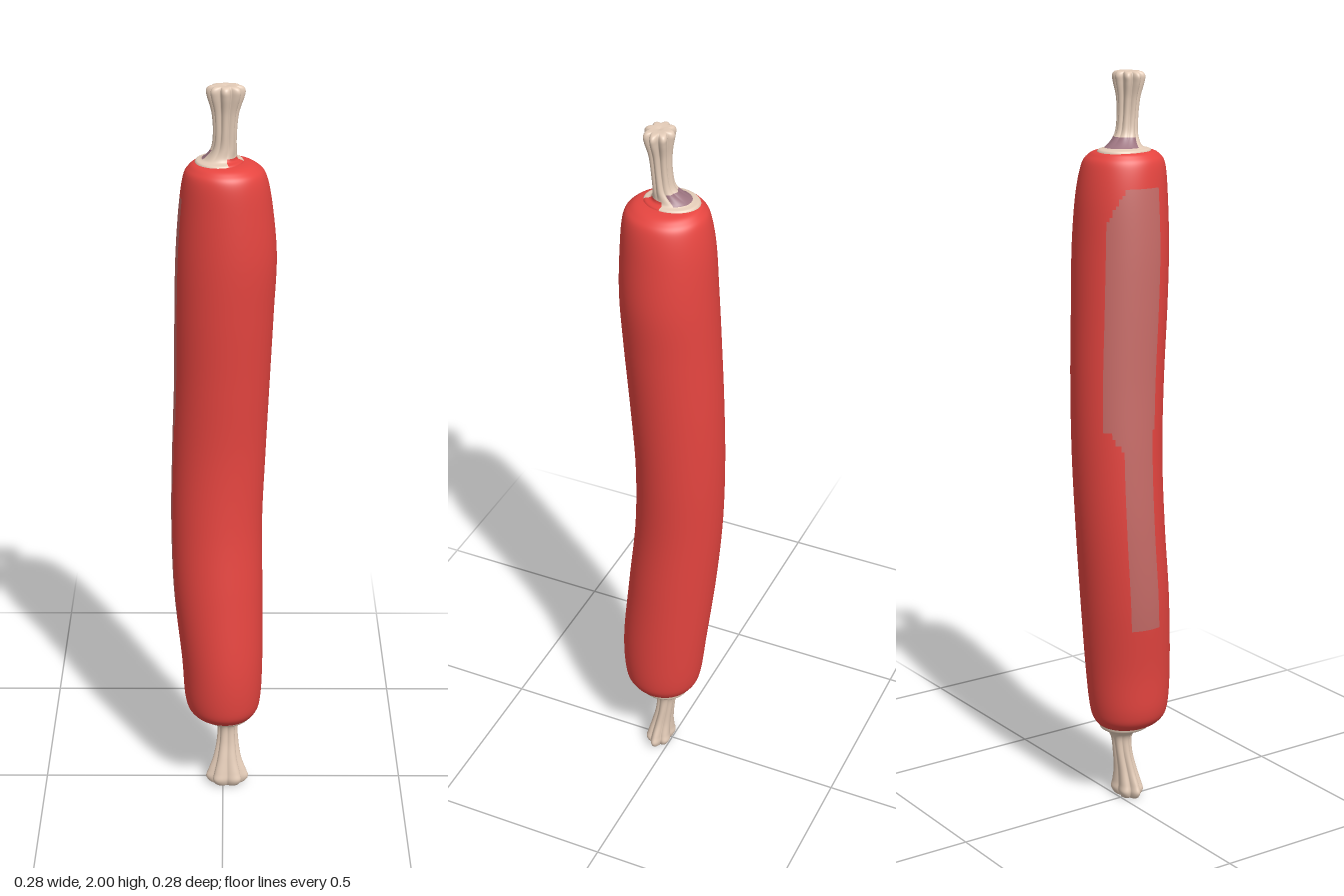
import * as THREE from 'three';

function flat(name, color) {
  const material = new THREE.MeshStandardMaterial({ color });
  material.name = name;
  return material;
}
const red = flat('casing red', 0xe64540);
const beige = flat('knot beige', 0xe4ccb8);
const mauve = flat('stain mauve', 0x9c7480);
const fadedRed = flat('faded red', 0xc86c68);

// Closed smooth skin through rows of [y, centreX, centreZ, radiusX, radiusZ, lobeDepth],
// listed from bottom to top. pick(angle, y) gives the material index of each face.
function loft(name, rows, rings, sides, lobes, materials, pick) {
  const curve = (f) => new THREE.CatmullRomCurve3(rows.map(f), false, 'catmullrom', 0.5);
  const centre = curve((r) => new THREE.Vector3(r[1], r[0], r[2]));
  const radius = curve((r) => new THREE.Vector3(r[3], r[5] || 0, r[4]));
  const positions = [];
  for (let i = 0; i <= rings; i++) {
    const c = centre.getPoint(i / rings);
    const r = radius.getPoint(i / rings);
    for (let j = 0; j < sides; j++) {
      const a = (j / sides) * Math.PI * 2;
      const k = lobes ? 1 + r.y * (Math.abs(Math.cos((a * lobes) / 2)) - 0.8) : 1;
      positions.push(c.x + Math.max(r.x, 0) * k * Math.cos(a), c.y, c.z + Math.max(r.z, 0) * k * Math.sin(a));
    }
  }
  const faces = materials.map(() => []);
  for (let i = 0; i < rings; i++) {
    const y = centre.getPoint((i + 0.5) / rings).y;
    for (let j = 0; j < sides; j++) {
      const a = i * sides + j;
      const b = i * sides + ((j + 1) % sides);
      const angle = ((j + 0.5) / sides) * 360;
      faces[pick(angle, y)].push(a, a + sides, b, b, a + sides, b + sides);
    }
  }
  const geometry = new THREE.BufferGeometry();
  geometry.setAttribute('position', new THREE.Float32BufferAttribute(positions, 3));
  geometry.setIndex(faces.flat());
  let start = 0;
  faces.forEach((f, m) => {
    geometry.addGroup(start, f.length, m);
    start += f.length;
  });
  geometry.computeVertexNormals();
  const mesh = new THREE.Mesh(geometry, materials);
  mesh.name = name;
  return mesh;
}

export function createModel() {
  const group = new THREE.Group();
  group.name = 'sausage';

  // Gently bent body with a faded patch along one side
  const body = [
    [0.212, 0.012, 0.012, 0, 0],
    [0.214, 0.01, 0.02, 0.055, 0.058],
    [0.235, 0.003, 0.026, 0.088, 0.093],
    [0.28, 0, 0.027, 0.104, 0.109],
    [0.4, -0.002, 0.022, 0.111, 0.118],
    [0.6, -0.013, 0.004, 0.121, 0.12],
    [0.8, -0.017, -0.013, 0.123, 0.118],
    [1.0, -0.011, -0.019, 0.125, 0.118],
    [1.2, -0.003, -0.013, 0.126, 0.122],
    [1.4, 0.003, -0.002, 0.129, 0.125],
    [1.55, 0.008, 0.005, 0.13, 0.125],
    [1.68, 0.007, 0.008, 0.12, 0.12],
    [1.76, 0.005, 0.012, 0.107, 0.11],
    [1.788, 0.002, 0.012, 0.09, 0.094],
    [1.8, -0.003, 0.009, 0.062, 0.067],
    [1.8, -0.005, 0.006, 0, 0],
  ];
  const inPatch = (angle, y) => {
    if (y > 1.71 || y < 0.53) return false;
    const upper = y > 1.08;
    const edge = upper ? 234 - Math.max(0, y - 1.62) * 280 : 205 + Math.max(0, y - 1.03) * 400;
    return angle > (upper ? 160 : 164) && angle < edge;
  };
  group.add(loft('body', body, 180, 96, 0, [red, fadedRed], (a, y) => (inPatch(a, y) ? 1 : 0)));

  // Gathered casing at the top, flaring into pinched lobes, stained behind its base
  const topKnot = [
    [1.788, -0.009, 0.005, 0.064, 0.075, 0],
    [1.803, -0.009, 0.005, 0.06, 0.07, 0],
    [1.81, -0.007, 0.006, 0.044, 0.05, 0],
    [1.838, 0.002, 0.019, 0.032, 0.03, 0.12],
    [1.88, 0.005, 0.025, 0.029, 0.026, 0.2],
    [1.93, 0.006, 0.028, 0.033, 0.028, 0.24],
    [1.97, 0.007, 0.03, 0.044, 0.035, 0.3],
    [1.988, 0.007, 0.03, 0.046, 0.037, 0.32],
    [1.998, 0.007, 0.03, 0.037, 0.03, 0.28],
    [1.999, 0.007, 0.03, 0.016, 0.013, 0.1],
    [1.997, 0.007, 0.03, 0, 0, 0],
  ];
  const knotColour = (a, y) => {
    if (a > 8 && a < 68 && y < 1.815) return 2;
    return a > 160 && a < 335 && y > 1.809 && y < 1.832 ? 1 : 0;
  };
  group.add(loft('topKnot', topKnot, 80, 112, 8, [beige, mauve, red], knotColour));

  // Gathered casing at the bottom
  const bottomKnot = [
    [0.004, 0.012, 0.03, 0, 0, 0],
    [0.003, 0.012, 0.03, 0.018, 0.014, 0.1],
    [0.0, 0.012, 0.03, 0.042, 0.026, 0.25],
    [0.018, 0.012, 0.03, 0.056, 0.036, 0.28],
    [0.04, 0.012, 0.029, 0.05, 0.033, 0.26],
    [0.08, 0.012, 0.024, 0.037, 0.028, 0.22],
    [0.13, 0.013, 0.016, 0.029, 0.025, 0.2],
    [0.175, 0.013, 0.012, 0.028, 0.028, 0.15],
    [0.198, 0.012, 0.014, 0.042, 0.043, 0.05],
    [0.209, 0.01, 0.019, 0.063, 0.067, 0],
    [0.222, 0.009, 0.021, 0.069, 0.073, 0],
  ];
  group.add(loft('bottomKnot', bottomKnot, 80, 108, 6, [beige], () => 0));

  return group;
}
